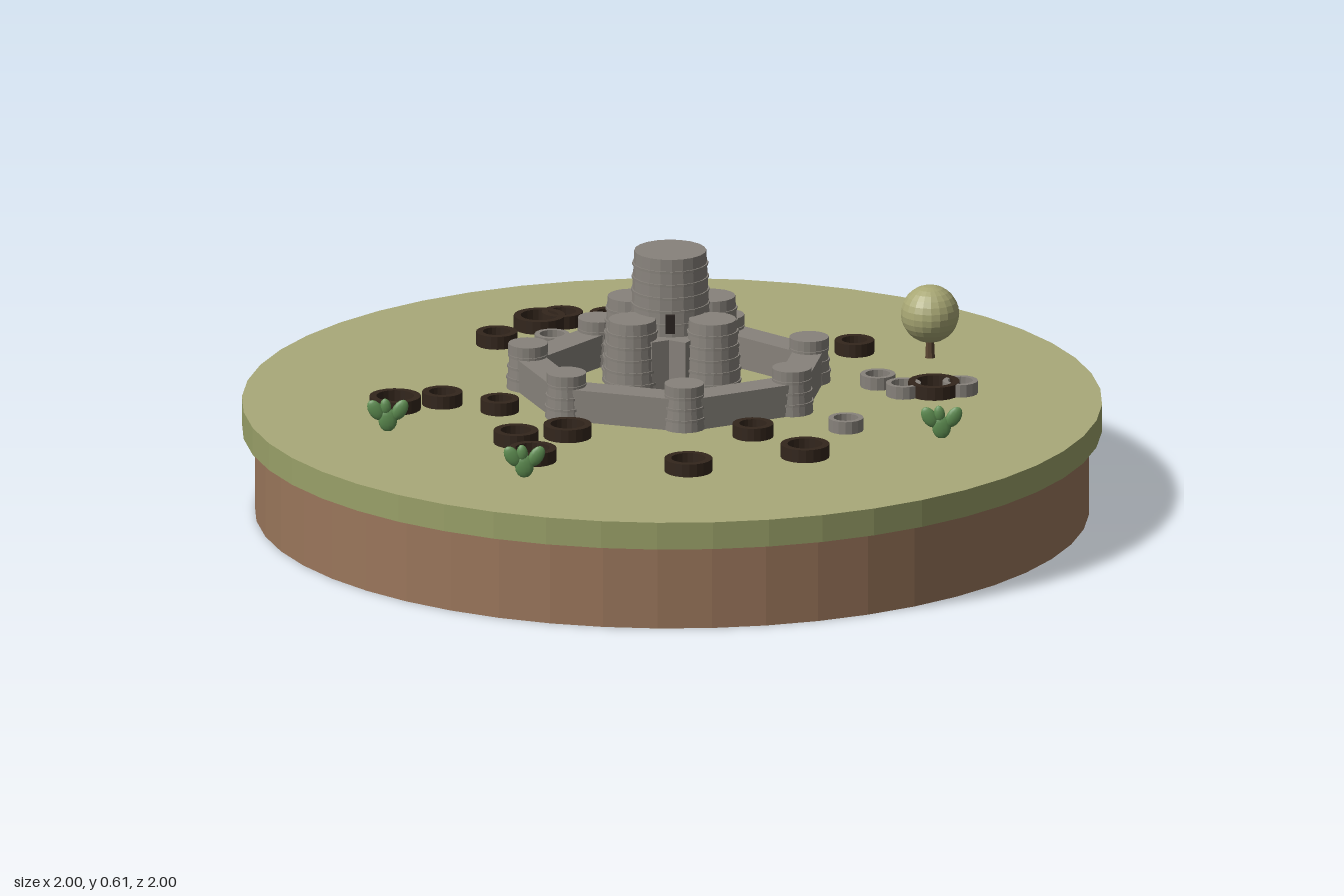
import * as THREE from 'three';

const GROUND = 0.265;

function mat(name, color, extra = {}) {
  const m = new THREE.MeshStandardMaterial({ color, ...extra });
  m.name = name;
  return m;
}

export function createModel() {
  const flat = { flatShading: true };
  const dryGrass = mat('dry grass', 0xa9a979);
  const turf = mat('turf edge', 0x99a068, flat);
  const earth = mat('earth', 0x9a765b, flat);
  const stone = mat('stone', 0x87827b, flat);
  const thorn = mat('thorn fence', 0x33261c, flat);
  const leaf = mat('cactus green', 0x5f8f52);
  const foliage = mat('foliage', 0xa8a774, flat);
  const bark = mat('bark', 0x5a4632, flat);
  const shadow = mat('dark opening', 0x2a2320);

  const model = new THREE.Group();
  model.name = 'hillFortDiorama';

  function add(parent, name, geo, material, x = 0, y = 0, z = 0) {
    const mesh = new THREE.Mesh(geo, material);
    mesh.name = name;
    mesh.position.set(x, y, z);
    parent.add(mesh);
    return mesh;
  }
  function group(name, x = 0, y = 0, z = 0) {
    const g = new THREE.Group();
    g.name = name;
    g.position.set(x, y, z);
    model.add(g);
    return g;
  }

  // Round plinth: earth below, turf slab on top
  add(model, 'earthBase', new THREE.CylinderGeometry(0.97, 0.97, 0.2, 48), earth, 0, 0.1, 0);
  add(model, 'turfSlab', new THREE.CylinderGeometry(1, 1, GROUND - 0.2, 48),
    [turf, dryGrass, turf], 0, (GROUND + 0.2) / 2, 0);

  // Tapered stone tower with thin projecting courses
  function tower(name, x, z, rBottom, rTop, height, courses) {
    const g = group(name, x, GROUND, z);
    add(g, 'towerBody', new THREE.CylinderGeometry(rTop, rBottom, height, 20), stone, 0, height / 2, 0);
    for (let i = 1; i < courses; i++) {
      const t = i / courses;
      const r = THREE.MathUtils.lerp(rBottom, rTop, t) + 0.003;
      add(g, 'stoneCourse', new THREE.CylinderGeometry(r, r, 0.006, 20), stone, 0, t * height, 0);
    }
    return g;
  }

  // Ring wall: seven small towers joined by straight walls
  const ring = [
    [-0.05, -0.36], [0.235, -0.28], [0.355, -0.04], [0.23, 0.18],
    [-0.05, 0.215], [-0.275, 0.035], [-0.275, -0.22],
  ];
  ring.forEach(([x, z], i) => {
    const t = tower('wallTower', x, z, 0.05, 0.041, 0.105, 4);
    add(t, 'towerCap', new THREE.CylinderGeometry(0.046, 0.046, 0.024, 20), stone, 0, 0.095, 0);
    const [nx, nz] = ring[(i + 1) % ring.length];
    const wall = add(model, 'curtainWall',
      new THREE.BoxGeometry(Math.hypot(nx - x, nz - z), 0.076, 0.07), stone,
      (x + nx) / 2, GROUND + 0.038, (z + nz) / 2);
    wall.rotation.y = -Math.atan2(nz - z, nx - x);
  });

  // Central keep: great tower, four side towers and angular masonry between
  const cx = 0.02, cz = -0.065;
  tower('greatTower', cx, cz, 0.1, 0.084, 0.345, 11);
  [[-0.03, -0.19], [0.145, -0.125], [0.08, 0.055], [-0.095, -0.01]].forEach(([x, z]) =>
    tower('sideTower', x, z, 0.068, 0.055, 0.205, 7));
  [0.12, 0.68].forEach((a) => {
    const core = add(model, 'keepMasonry', new THREE.BoxGeometry(0.2, 0.16, 0.2), stone,
      cx, GROUND + 0.08, cz);
    core.rotation.y = a;
  });
  add(model, 'towerOpening', new THREE.BoxGeometry(0.022, 0.045, 0.009), shadow, -0.012, 0.457, 0.021)
    .rotation.y = -0.35;

  // Open circular enclosures
  function enclosure(name, x, z, r, thick, h, material, sides) {
    const profile = [[r, 0], [r, h], [r - thick, h], [r - thick, 0]].map((p) => new THREE.Vector2(...p));
    add(model, name, new THREE.LatheGeometry(profile, sides), material, x, GROUND, z);
  }
  [
    [-0.625, -0.165, 0.06], [-0.51, -0.16, 0.047], [-0.405, -0.06, 0.045], [-0.46, 0.195, 0.052],
    [-0.33, 0.19, 0.056], [-0.475, 0.345, 0.056], [-0.165, 0.55, 0.056], [0.13, 0.535, 0.057],
    [0.075, 0.337, 0.048], [0.535, -0.22, 0.046], [0.59, 0.16, 0.06], [-0.22, -0.575, 0.048],
    [-0.08, -0.665, 0.06], [-0.02, -0.675, 0.048], [0.08, -0.63, 0.046], [0.16, -0.55, 0.06],
    [0.085, -0.46, 0.05],
  ].forEach(([x, z, r]) => enclosure('thornEnclosure', x, z, r, 0.016, 0.031, thorn, 20));
  [[-0.105, -0.515], [0.49, 0.055], [0.52, 0.145], [0.65, 0.175], [0.295, 0.365]].forEach(([x, z]) =>
    enclosure('stoneHutRing', x, z, 0.041, 0.012, 0.03, stone, 16));

  // Cacti made of flat oval pads: [x, y, tilt, half width, half height]
  const pads = [
    [0, 0.026, 0, 0.022, 0.028], [-0.028, 0.05, 0.55, 0.017, 0.027], [0.028, 0.05, -0.55, 0.017, 0.027],
    [-0.005, 0.058, 0.12, 0.013, 0.02],
  ];
  [[-0.705, 0], [-0.54, 0.465], [0.48, 0.505]].forEach(([x, z]) => {
    const g = group('cactus', x, GROUND, z);
    g.rotation.y = -0.33;
    pads.forEach(([px, py, tilt, w, h]) => {
      const pad = add(g, 'cactusPad', new THREE.SphereGeometry(1, 12, 8), leaf, px, py, 0);
      pad.scale.set(w, h, 0.008);
      pad.rotation.z = tilt;
    });
  });

  // Round tree
  const tree = group('tree', 0.685, GROUND, -0.12);
  add(tree, 'trunk', new THREE.CylinderGeometry(0.009, 0.012, 0.06, 8), bark, 0, 0.03, 0);
  add(tree, 'crown', new THREE.SphereGeometry(0.068, 20, 14), foliage, 0, 0.106, 0);

  return model;
}
